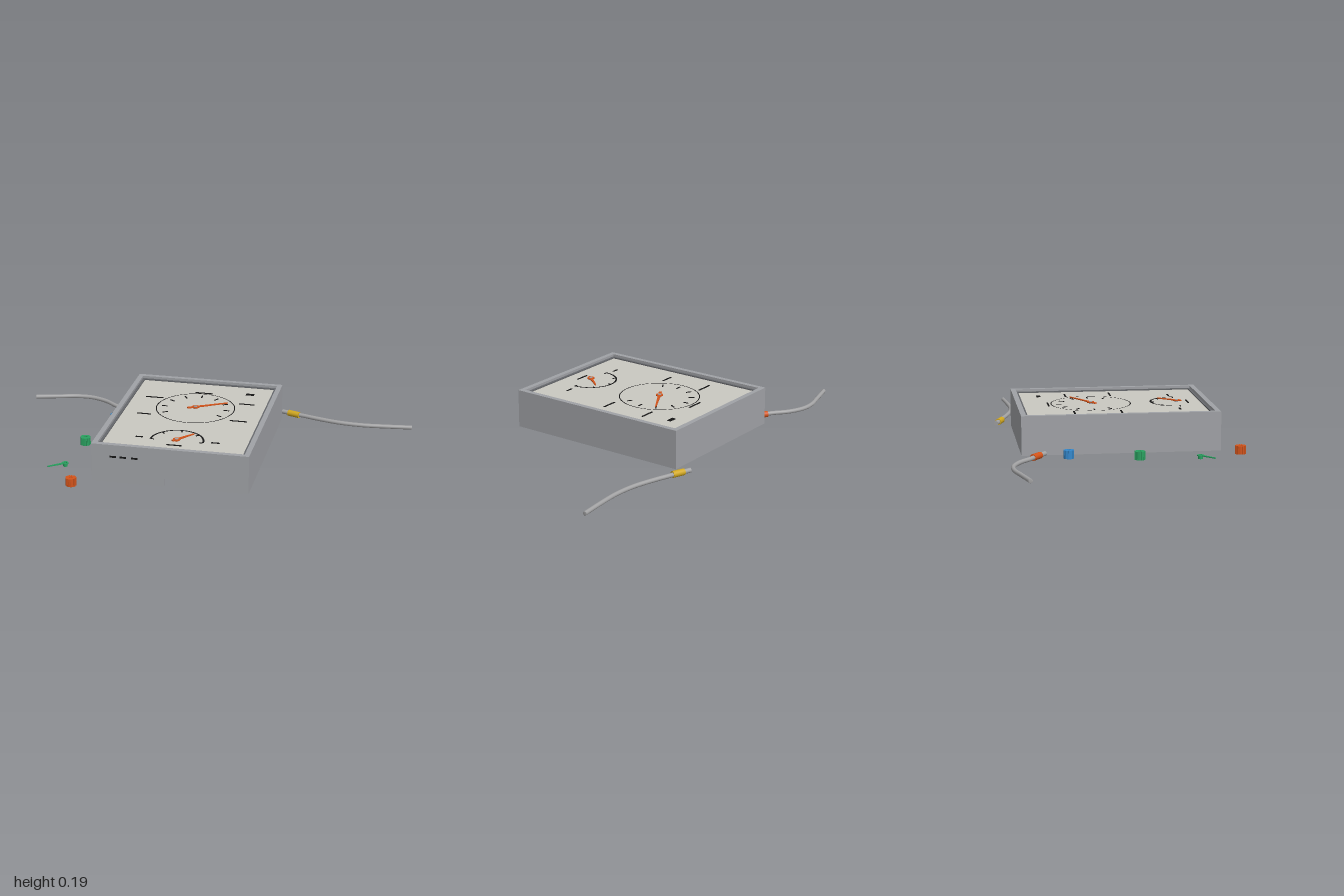
import * as THREE from 'three';

const paint = (name, color) => Object.assign(new THREE.MeshStandardMaterial({ color }), { name });
const M = {
  grey: paint('case grey', 0xa0a2a6),
  trim: paint('dark trim', 0x66686c),
  face: paint('dial face', 0xcac8c1),
  black: paint('black', 0x151515),
  orange: paint('orange', 0xd4541a),
  green: paint('green', 0x2aa160),
  blue: paint('blue', 0x3488cc),
  yellow: paint('yellow', 0xd2a820),
  hose: paint('hose grey', 0xa3a3a4),
};
const W = 0.76, D = 0.955, H = 0.19, WALL = 0.025, FACE_Y = 0.172;

function add(parent, name, geo, mat, x = 0, y = 0, z = 0) {
  const m = new THREE.Mesh(geo, mat);
  m.name = name;
  m.position.set(x, y, z);
  parent.add(m);
  return m;
}
const box = (w, h, d) => new THREE.BoxGeometry(w, h, d);

// Extrude a plan shape upwards (shape y points to -z)
const slab = (shape, h) =>
  new THREE.ExtrudeGeometry(shape, { depth: h, bevelEnabled: false, curveSegments: 20 }).rotateX(-Math.PI / 2);

const poly = (pts) => new THREE.Shape(pts.map(([x, y]) => new THREE.Vector2(x, y)));
const rect = (w, d) => [[-w / 2, -d / 2], [w / 2, -d / 2], [w / 2, d / 2], [-w / 2, d / 2]];

function frame(w, d, t, h) {
  const s = poly(rect(w, d));
  s.holes.push(poly(rect(w - 2 * t, d - 2 * t)));
  return slab(s, h);
}

function roundHole(shape, r) {
  shape.holes.push(new THREE.Path().absarc(0, 0, r, 0, Math.PI * 2, true));
  return shape;
}

// Tapered needle along +x with a ring-shaped hub
function pointer(parent, name, mat, len, tail, hub, angle, x, y, z) {
  const g = new THREE.Group();
  g.name = name;
  g.position.set(x, y, z);
  g.rotation.y = angle;
  const s = new THREE.Shape();
  const a = 0.4;
  s.moveTo(hub * Math.cos(a), hub * Math.sin(a));
  s.absarc(0, 0, hub, a, Math.PI - a, false);
  if (tail) {
    s.lineTo(-tail, 0.007);
    s.lineTo(-tail, -0.007);
  }
  s.absarc(0, 0, hub, Math.PI + a, Math.PI * 2 - a, false);
  s.lineTo(len, -0.003);
  s.lineTo(len, 0.003);
  s.closePath();
  add(g, name + ' blade', slab(roundHole(s, hub * 0.5), 0.005), mat);
  parent.add(g);
  return g;
}

// Ring arc, tick marks and needle of one gauge
function gauge(parent, name, o) {
  const g = new THREE.Group();
  g.name = name;
  g.position.set(0, FACE_Y, o.z);
  add(g, 'scale line', new THREE.RingGeometry(o.r - o.line, o.r, 64, 1, o.start, o.sweep).rotateX(-Math.PI / 2),
    M.black, 0, 0.002, 0);
  for (let i = 0; i < o.ticks; i++) {
    const a = o.from + (o.to - o.from) * i / (o.ticks - 1);
    const t = add(g, 'tick', box(o.tick, 0.003, 0.006), M.black, o.tickR * Math.cos(a), 0.001, -o.tickR * Math.sin(a));
    t.rotation.y = a;
  }
  pointer(g, 'needle', M.orange, o.len, o.tail, 0.018, o.angle, 0, 0.006, 0);
  add(g, 'needle pin', new THREE.CylinderGeometry(0.009, 0.009, 0.013, 20), M.grey, 0, 0.0065, 0);
  parent.add(g);
}

// Ribbed cap
function knob(parent, name, mat, x, z, r) {
  const pts = [];
  const ribs = 18;
  for (let i = 0; i < ribs; i++) {
    [[0, r], [0.5, r], [0.55, r * 0.92], [0.95, r * 0.92]].forEach(([f, q]) => {
      const a = (i + f) / ribs * Math.PI * 2;
      pts.push([q * Math.cos(a), q * Math.sin(a)]);
    });
  }
  const g = new THREE.Group();
  g.name = name;
  g.position.set(x, 0, z);
  add(g, name + ' body', slab(roundHole(poly(pts), r * 0.36), 0.04), mat);
  add(g, name + ' core', new THREE.CylinderGeometry(r * 0.36, r * 0.36, 0.03, 20), mat, 0, 0.02, 0);
  parent.add(g);
}

// Bent hose ending in a coloured collar and a rigid tip
function hose(parent, name, mat, pts, collar, tip) {
  const g = new THREE.Group();
  g.name = name;
  const y = 0.012;
  const v = ([x, z]) => new THREE.Vector3(x, y, z);
  const c = v(collar), e = v(tip);
  const dir = e.clone().sub(c).normalize();
  const curve = new THREE.CatmullRomCurve3([...pts.map(v), c]);
  add(g, 'hose', new THREE.TubeGeometry(curve, 48, 0.0105, 14), M.hose);
  const rod = (part, r, from, to, m) => {
    const mid = from.clone().add(to).multiplyScalar(0.5);
    const rodMesh = add(g, part, new THREE.CylinderGeometry(r, r, from.distanceTo(to), 20), m, mid.x, mid.y, mid.z);
    rodMesh.quaternion.setFromUnitVectors(new THREE.Vector3(0, 1, 0), dir);
  };
  rod('collar', 0.016, c.clone().addScaledVector(dir, -0.032), c.clone().addScaledVector(dir, 0.032), mat);
  rod('tip', 0.0115, c, e, M.hose);
  const end = add(g, 'hose end', new THREE.SphereGeometry(0.0105, 14, 8), M.hose, pts[0][0], y, pts[0][1]);
  end.scale.x = 0.1;
  parent.add(g);
}

export function createModel() {
  const root = new THREE.Group();
  root.name = 'gauge box set';

  // Case, open underneath, with a cable notch in the front wall
  const unit = new THREE.Group();
  unit.name = 'gauge box';
  unit.position.z = -0.015;
  unit.rotation.y = 0.105;
  root.add(unit);
  const NOTCH = 0.04, n = 0.027, w = W / 2, d = D / 2, iw = w - WALL, id = d - WALL;
  add(unit, 'case walls', frame(W, D, WALL, H - NOTCH), M.grey, 0, NOTCH, 0);
  add(unit, 'case foot', slab(poly([
    [n, -d], [w, -d], [w, d], [-w, d], [-w, -d], [-n, -d],
    [-n, -id], [-iw, -id], [-iw, id], [iw, id], [iw, -id], [n, -id],
  ]), NOTCH), M.grey);
  for (const sx of [-1, 1]) for (const sz of [-1, 1]) {
    add(unit, 'corner post', box(0.042, 0.155, 0.042), M.grey, sx * (iw - 0.02), 0.0865, sz * (id - 0.02));
  }

  // Recessed dial plate with dark backing and surround
  add(unit, 'dial plate', box(iw * 2, 0.006, id * 2), M.face, 0, FACE_Y - 0.003, 0);
  add(unit, 'backing', box(iw * 2, 0.006, id * 2), M.black, 0, FACE_Y - 0.009, 0);
  add(unit, 'surround', frame(iw * 2, id * 2, 0.012, 0.006), M.trim, 0, FACE_Y, 0);

  gauge(unit, 'main gauge', {
    z: -0.106, r: 0.199, line: 0.005, start: 0, sweep: Math.PI * 2, ticks: 9, from: -Math.PI / 6,
    to: Math.PI * 7 / 6, tick: 0.028, tickR: 0.158, len: 0.172, tail: 0.042, angle: 0.525,
  });
  gauge(unit, 'small gauge', {
    z: 0.323, r: 0.133, line: 0.009, start: 0, sweep: Math.PI, ticks: 5, from: 0,
    to: Math.PI, tick: 0.016, tickR: 0.119, len: 0.108, tail: 0.026, angle: 0.89,
  });

  // Plain dashes marking the scale positions
  const dashes = [[0, -0.317, 0.09], [-0.235, -0.21, 0.09], [0.242, -0.21, 0.08], [-0.235, 0.018, 0.07],
    [0.242, 0.018, 0.085], [0, 0.378, 0.075], [-0.187, 0.31, 0.035], [0.187, 0.31, 0.04]];
  for (const [x, z, len] of dashes) add(unit, 'scale dash', box(len, 0.003, 0.008), M.black, x, FACE_Y + 0.001, z);
  add(unit, 'corner mark', box(0.042, 0.003, 0.02), M.black, 0.234, FACE_Y + 0.001, -0.346);
  for (const x of [-0.275, -0.225, -0.17]) add(unit, 'front dash', box(0.032, 0.009, 0.003), M.black, x, 0.13, d);

  // Loose caps and spare pointer
  knob(root, 'blue knob', M.blue, -0.484, -0.227, 0.025);
  knob(root, 'green knob', M.green, -0.518, 0.104, 0.026);
  knob(root, 'orange knob', M.orange, -0.4, 0.586, 0.026);
  const spare = pointer(root, 'spare pointer', M.green, 0.092, 0, 0.016, -Math.PI * 0.75, -0.51, 0.014, 0.388);
  const bush = roundHole(new THREE.Shape().absarc(0, 0, 0.011, 0, Math.PI * 2, false), 0.007);
  add(spare, 'pointer bush', slab(bush, 0.014), M.green, 0, -0.014, 0);

  // Hoses
  hose(root, 'right hose', M.orange,
    [[-0.999, -0.392], [-0.88, -0.437], [-0.79, -0.47], [-0.71, -0.477], [-0.62, -0.45], [-0.55, -0.405]],
    [-0.494, -0.378], [-0.43, -0.34]);
  hose(root, 'left hose', M.yellow,
    [[0.999, -0.598], [0.86, -0.568], [0.75, -0.549], [0.63, -0.546], [0.5, -0.565], [0.43, -0.58]],
    [0.378, -0.588], [0.312, -0.605]);
  return root;
}
